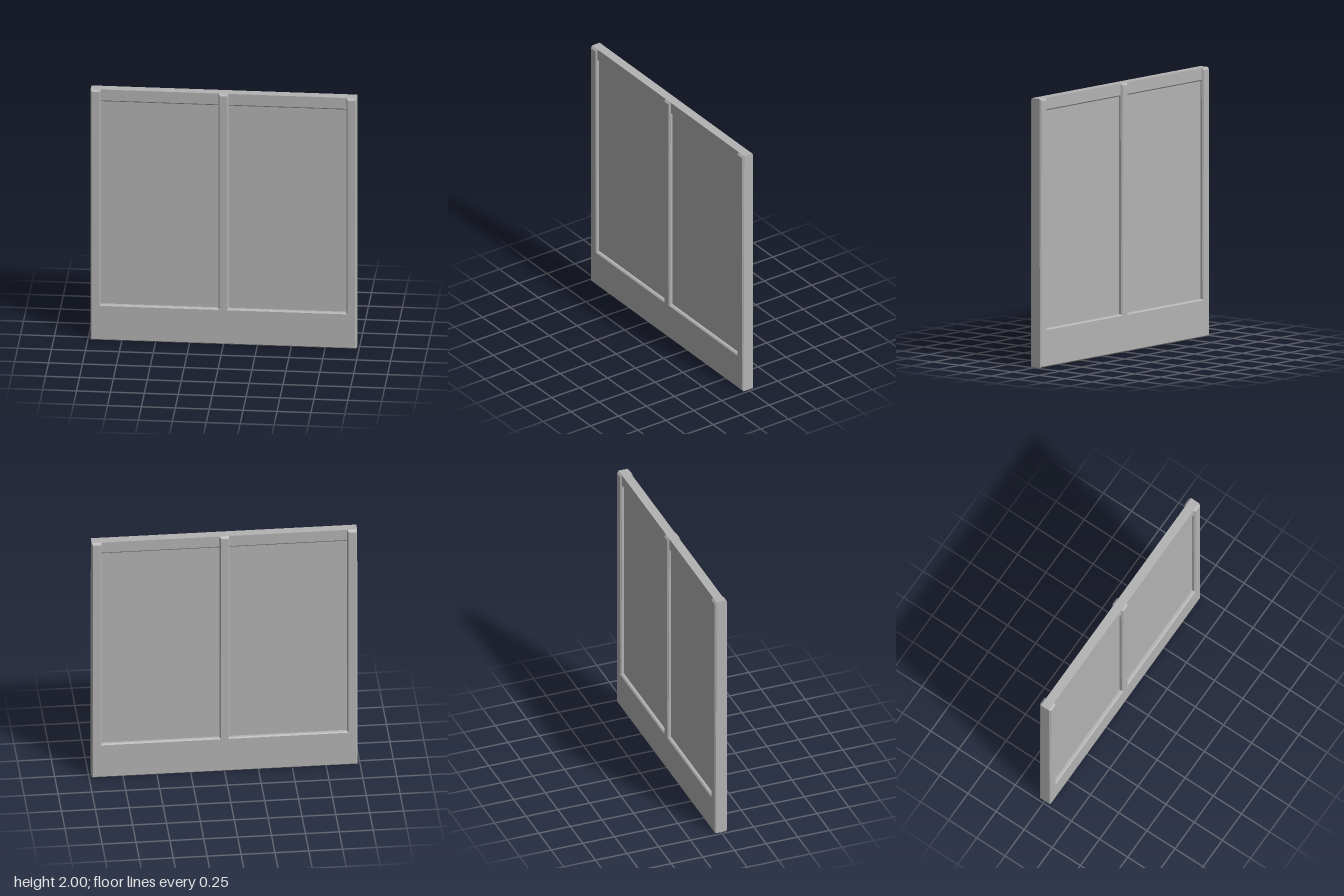
import * as THREE from 'three';

const HALF_W = 0.98, HEIGHT = 2, DEPTH = 0.1, BEVEL = 0.009;
const BAY_IN = 0.036, BAY_OUT = 0.906, SILL = 0.284; // inner limits of each bay

function shapeOf(points) {
  return new THREE.Shape(points.map(([x, y]) => new THREE.Vector2(x, y)));
}

// Bevelled comb outline: wide bottom rail carrying three upright stiles
function frameGeometry() {
  const half = [
    [HALF_W, 0], [HALF_W, HEIGHT], [BAY_OUT, HEIGHT],
    [BAY_OUT, SILL], [BAY_IN, SILL], [BAY_IN, HEIGHT],
  ];
  const mirrored = half.map(([x, y]) => [-x, y]).reverse();
  const geo = new THREE.ExtrudeGeometry(shapeOf([...half, ...mirrored]), {
    depth: DEPTH - 2 * BEVEL, bevelEnabled: true, bevelSegments: 1,
    bevelSize: BEVEL, bevelThickness: BEVEL, bevelOffset: -BEVEL,
  });
  geo.translate(0, 0, BEVEL - DEPTH / 2);

  // Deepen the chamfer on the stile tops so it meets the top rail
  const p = geo.attributes.position;
  for (let i = 0; i < p.count; i++) {
    const y = p.getY(i);
    if (y > HEIGHT - 0.001) p.setZ(i, Math.sign(p.getZ(i)) * 0.035);
    else if (y > 1.9) p.setY(i, HEIGHT - 0.015);
  }
  geo.computeVertexNormals();
  return geo;
}

// Constant (z, y) section extruded along x to fill one bay
function bayGeometry(halfSection) {
  const mirrored = halfSection.map(([z, y]) => [-z, y]).reverse();
  const geo = new THREE.ExtrudeGeometry(shapeOf([...halfSection, ...mirrored]), {
    depth: BAY_OUT - BAY_IN, bevelEnabled: false,
  });
  geo.translate(0, 0, -(BAY_OUT - BAY_IN) / 2);
  geo.rotateY(Math.PI / 2);
  return geo;
}

export function createModel() {
  const model = new THREE.Group();
  model.name = 'doublePanel';
  const grey = new THREE.MeshStandardMaterial({ color: 0xb3b3b3 });
  grey.name = 'grey';

  const add = (name, geo, x = 0) => {
    const mesh = new THREE.Mesh(geo, grey);
    mesh.name = name;
    mesh.position.x = x;
    model.add(mesh);
  };

  add('frame', frameGeometry());

  // Set-back top rail with chamfered lower edge, and the sunken panel below it
  const rail = bayGeometry([[0.022, 1.904], [0.028, 1.904], [0.035, 1.913], [0.035, HEIGHT]]);
  const panel = bayGeometry([[0.022, SILL], [0.022, 1.904]]);
  for (const [side, sign] of [['left', 1], ['right', -1]]) {
    const x = sign * (BAY_IN + BAY_OUT) / 2;
    add(side + 'TopRail', rail, x);
    add(side + 'Panel', panel, x);
  }
  return model;
}
